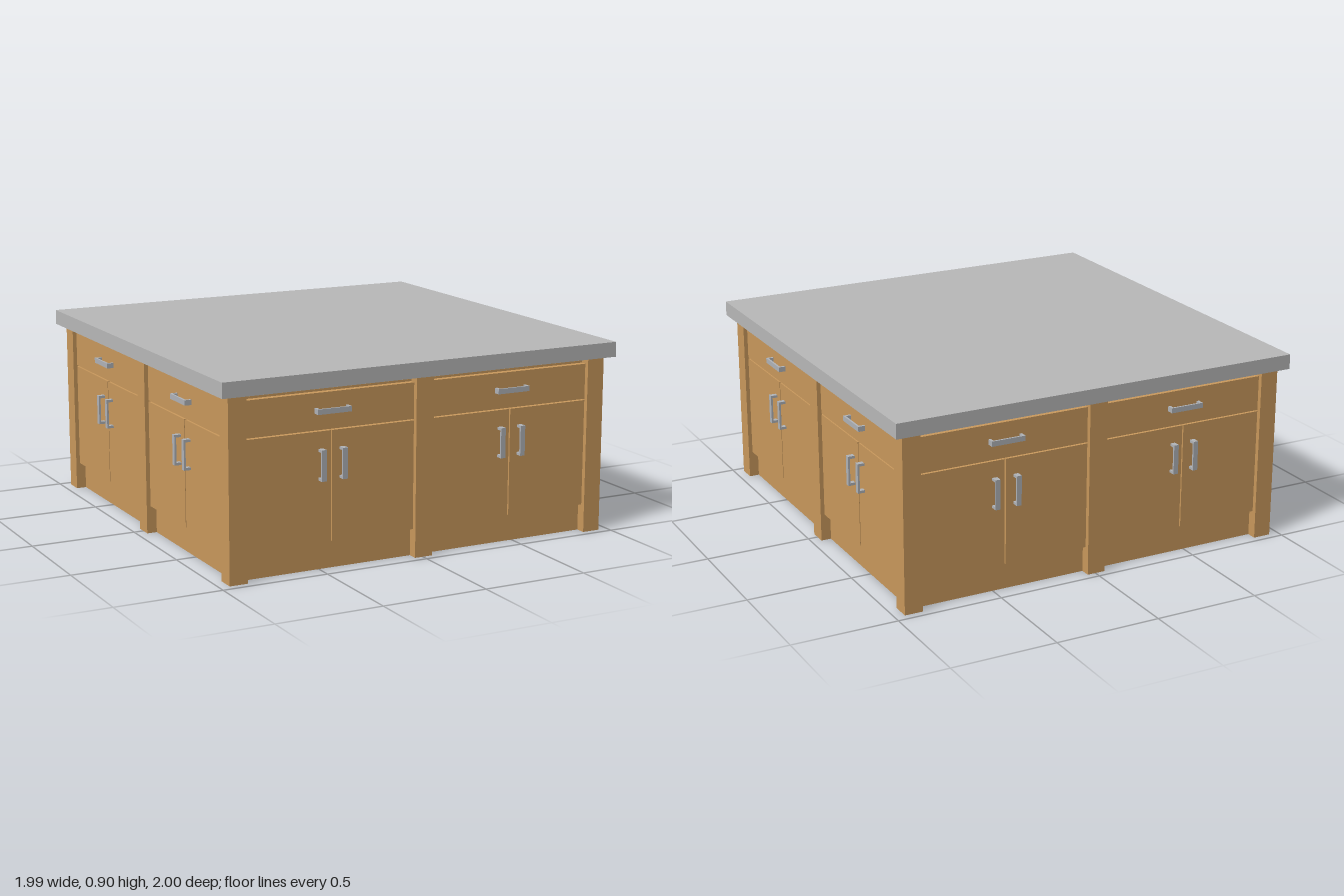
import * as THREE from 'three';

export function createModel() {
  const wood = new THREE.MeshStandardMaterial({ color: 0xcb9a5d });
  wood.name = 'oak wood';
  const stone = new THREE.MeshStandardMaterial({ color: 0xbababa });
  stone.name = 'grey stone';
  const steel = new THREE.MeshStandardMaterial({ color: 0xb2b5ba });
  steel.name = 'brushed steel';

  const island = new THREE.Group();
  island.name = 'kitchenIsland';

  // Box given by its limits on each axis
  function box(parent, name, mat, x0, x1, y0, y1, z0, z1) {
    const mesh = new THREE.Mesh(new THREE.BoxGeometry(x1 - x0, y1 - y0, z1 - z0), mat);
    mesh.position.set((x0 + x1) / 2, (y0 + y1) / 2, (z0 + z1) / 2);
    mesh.name = name;
    parent.add(mesh);
    return mesh;
  }

  // Bracket handle: flat bar on two feet, lying along x, base at z = 0
  function handle(parent, name, x, y, z, length, upright) {
    const g = new THREE.Group();
    g.name = name;
    const h = length / 2, w = 0.012;
    box(g, 'handleBar', steel, -h, h, -w, w, 0.024, 0.033);
    for (const s of [-1, 1]) {
      const c = s * (h - 0.006);
      box(g, 'handleFoot', steel, c - 0.006, c + 0.006, -w, w, 0, 0.026);
    }
    g.position.set(x, y, z);
    if (upright) g.rotation.z = Math.PI / 2;
    parent.add(g);
  }

  const HX = 0.953, HZ = 0.965;   // half extents of the base
  const POST = 0.086, TOP = 0.83;

  // Countertop
  box(island, 'countertop', stone, -0.995, 0.995, TOP, 0.9, -1, 1);

  // Corner posts
  for (const sx of [-1, 1]) for (const sz of [-1, 1]) {
    const cx = sx * (HX - POST / 2), cz = sz * (HZ - POST / 2);
    box(island, 'cornerPost', wood, cx - POST / 2, cx + POST / 2, 0, TOP, cz - POST / 2, cz + POST / 2);
  }

  // One cabinet side, built facing +z
  function cabinetSide(name, halfWidth, depth) {
    const side = new THREE.Group();
    side.name = name;
    const face = depth - 0.018;   // front of doors and drawers
    const back = depth - 0.048;   // front of the carcass sheet
    const gap = 0.003;

    box(side, 'middlePost', wood, -0.04, 0.048, 0, TOP, depth - POST, depth);

    for (const s of [-1, 1]) {
      const a = s > 0 ? 0.048 : -(halfWidth - POST);
      const b = s > 0 ? halfWidth - POST : -0.04;
      const mid = (a + b) / 2;

      // Carcass sheet reaching the floor as the kickboard
      box(side, 'kickboardPanel', wood, a, b, 0, 0.81, back - 0.015, back);

      // Drawer over a pair of doors
      box(side, 'drawerFront', wood, a + gap, b - gap, 0.635, 0.8, back, face);
      box(side, 'leftDoor', wood, a + gap, mid - gap, 0.13, 0.629, back, face);
      box(side, 'rightDoor', wood, mid + gap, b - gap, 0.13, 0.629, back, face);

      handle(side, 'drawerHandle', mid, 0.722, face, 0.164, false);
      for (const d of [-1, 1]) handle(side, 'doorHandle', mid + d * 0.052, 0.482, face, 0.14, true);
    }
    return side;
  }

  // Four sides around the island
  const names = ['frontSide', 'leftSide', 'backSide', 'rightSide'];
  names.forEach((name, i) => {
    const side = i % 2 ? cabinetSide(name, HZ, HX) : cabinetSide(name, HX, HZ);
    side.rotation.y = i * Math.PI / 2;
    island.add(side);
  });

  return island;
}
